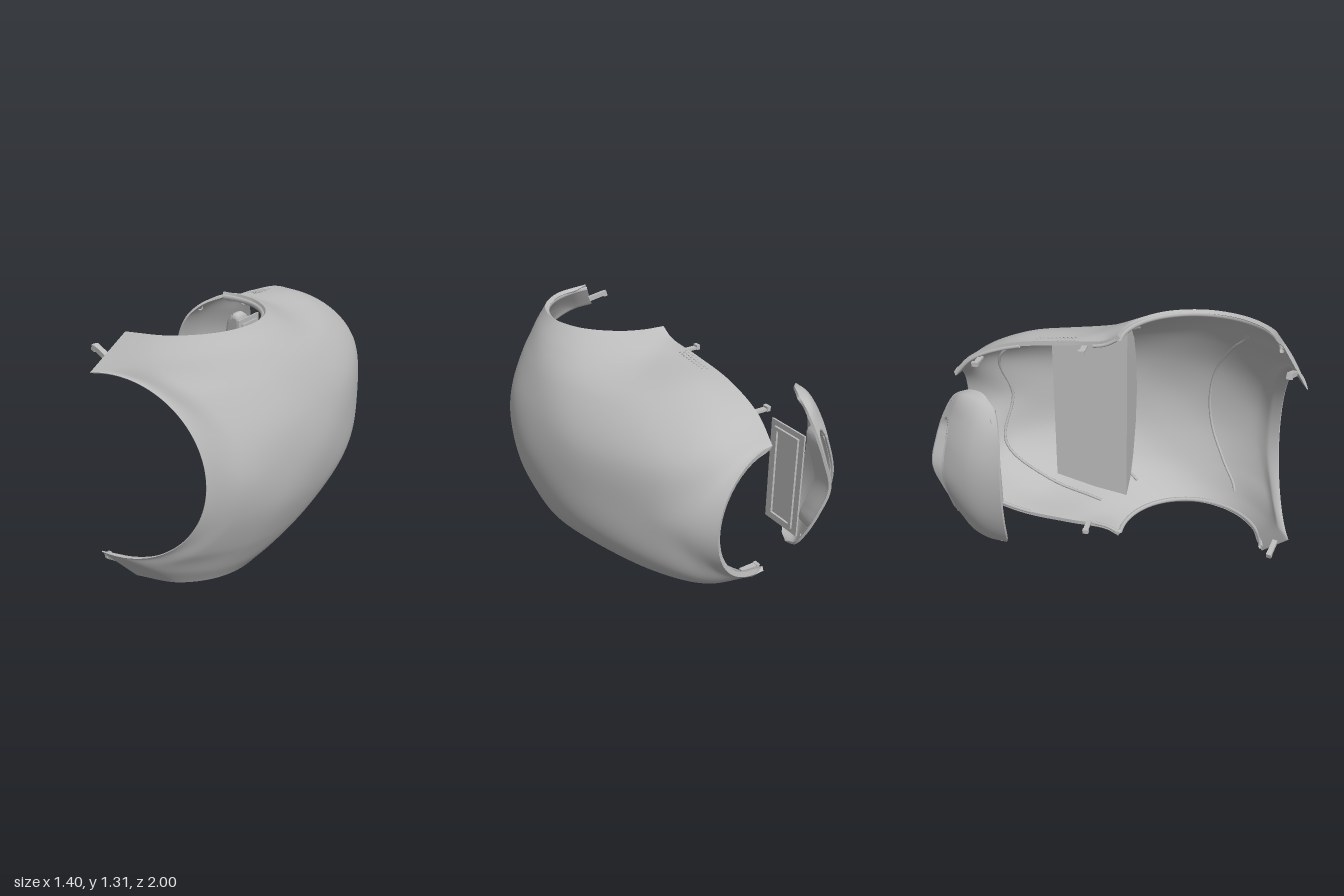
import * as THREE from 'three';
import { mergeGeometries } from 'three/addons/utils/BufferGeometryUtils.js';

const V = (x, y, z) => new THREE.Vector3(x, y, z);
const MID = 0.66; // height of the mirror plane
const flip = p => V(p.x, 2 * MID - p.y, p.z);
const rad = THREE.MathUtils.degToRad;

// Surface through rows of points (top row to middle row), mirrored below the middle.
// first / last add exact edge curves at the ends of each row.
function makeSurface(rows, first, last) {
  const n = rows.length - 1;
  const tracks = rows[0].map((_, j) => {
    const half = rows.map(r => V(...r[j]));
    return new THREE.CatmullRomCurve3([...half, ...half.slice(0, n).reverse().map(flip)]);
  });
  const edge = (f, r) => (r <= n ? f(r) : flip(f(2 * n - r)));
  return r => {
    const pts = tracks.map(t => t.getPoint(r / (2 * n)));
    if (first) pts.unshift(edge(first, r));
    if (last) pts.push(edge(last, r));
    return new THREE.CatmullRomCurve3(pts);
  };
}

// Thick skin: outer face, inner face and the rim joining them. thick(u) is the wall thickness.
function thickSkin(surface, rowsTotal, nr, nu, thick, shift) {
  const outer = [], idx = [], w = nu + 1;
  for (let i = 0; i <= nr; i++) {
    const curve = surface((i / nr) * rowsTotal);
    for (let j = 0; j <= nu; j++) {
      const p = curve.getPoint(j / nu);
      if (shift) shift(p, j / nu);
      outer.push(p);
      if (i < nr && j < nu) {
        const a = i * w + j;
        idx.push(a, a + w, a + 1, a + 1, a + w, a + w + 1);
      }
    }
  }
  const og = new THREE.BufferGeometry().setFromPoints(outer);
  og.setIndex(idx);
  og.computeVertexNormals();
  const nrm = og.attributes.normal;
  const inner = outer.map((p, k) => p.clone().addScaledVector(new THREE.Vector3().fromBufferAttribute(nrm, k), -thick((k % w) / nu)));
  const ig = new THREE.BufferGeometry().setFromPoints(inner);
  ig.setIndex(idx.slice().reverse());
  ig.computeVertexNormals();
  const loop = [];
  for (let i = 0; i < nr; i++) loop.push(i * w);
  for (let j = 0; j < nu; j++) loop.push(nr * w + j);
  for (let i = nr; i > 0; i--) loop.push(i * w + nu);
  for (let j = nu; j > 0; j--) loop.push(j);
  const rim = [];
  loop.forEach((a, k) => {
    const b = loop[(k + 1) % loop.length];
    rim.push(outer[a], inner[a], outer[b], outer[b], inner[a], inner[b]);
  });
  const rg = new THREE.BufferGeometry().setFromPoints(rim);
  rg.computeVertexNormals();
  return mergeGeometries([og.toNonIndexed(), ig.toNonIndexed(), rg]);
}

export function createModel() {
  const model = new THREE.Group();
  const grey = new THREE.MeshStandardMaterial({ color: 0xbcbcbc, side: THREE.DoubleSide });
  grey.name = 'grey plastic';
  const add = (name, geo) => {
    const m = new THREE.Mesh(geo, grey);
    m.name = name;
    model.add(m);
    return m;
  };
  const box = (name, w, h, d, x, y, z) => {
    const m = add(name, new THREE.BoxGeometry(w, h, d));
    m.position.set(x, y, z);
    return m;
  };

  // Housing: round openings above, below, in front and behind
  const topRim = [30, 60, 90, 120, 148, 166].map(a => [-0.02 + 0.43 * Math.sin(rad(a)), 1.315, 0.43 + 0.43 * Math.cos(rad(a))]);
  const rows = [
    topRim,
    [[0.18, 1.2, 0.89], [0.39, 1.215, 0.7], [0.49, 1.22, 0.42], [0.45, 1.215, 0.1], [0.26, 1.23, -0.13], [0.1, 1.257, -0.16]],
    [[0.36, 1.07, 0.85], [0.52, 1.07, 0.62], [0.585, 1.08, 0.3], [0.55, 1.09, -0.05], [0.365, 1.15, -0.43], [0.17, 1.205, -0.57]],
    [[0.52, 0.87, 0.78], [0.63, 0.87, 0.53], [0.665, 0.88, 0.18], [0.625, 0.89, -0.23], [0.43, 0.945, -0.72], [0.25, 1.01, -0.865]],
    [[0.56, 0.66, 0.78], [0.66, 0.66, 0.5], [0.695, 0.66, 0.17], [0.64, 0.66, -0.26], [0.495, 0.66, -0.68], [0.41, 0.66, -0.85]],
  ];
  const frontRim = deg => {
    const x = -0.043 + 0.484 * Math.cos(rad(deg));
    return V(x, MID + 0.484 * Math.sin(rad(deg)), 0.975 - 0.17 * x);
  };
  const frontEdge = r => (r <= 1 ? V(-0.02, 1.315, 0.86).lerp(frontRim(100), r) : frontRim((100 / 3) * (4 - r)));
  const seam = new THREE.CatmullRomCurve3([V(-0.03, 1.315, 0), V(-0.03, 1.275, -0.08), V(-0.03, 1.257, -0.3),
    V(-0.03, 1.22, -0.6), V(-0.03, 1.135, -0.82), V(-0.03, 1.02, -0.935)]);
  const backEdge = r => {
    if (r <= 3) return seam.getPoint(r / 3);
    const c = Math.cos(rad(90 * (4 - r))), s = Math.sin(rad(90 * (4 - r)));
    return V(-0.03 + 0.345 * c, MID + 0.36 * s, -0.935 - 0.065 * Math.max(c, 0) ** 1.3);
  };
  const shell = makeSurface(rows, frontEdge, backEdge);
  // The wall thins out towards the front opening
  add('housingShell', thickSkin(shell, 8, 96, 80, u => 0.005 + 0.02 * Math.min(1, u / 0.06)));

  // Ribs on the inside of the housing
  for (const u of [0.3, 0.6, 0.78]) {
    const pts = [];
    for (let r = 1; r <= 7; r += 0.25) {
      const p = shell(r).getPoint(u);
      pts.push(p.lerp(V(0, MID, p.z * 0.7), 0.055));
    }
    add('innerRib', new THREE.TubeGeometry(new THREE.CatmullRomCurve3(pts), 40, 0.009, 6));
  }

  // Inner partition: side wall and front wall
  const plate = (half, depth) => {
    const pts = [...half, ...half.slice().reverse().map(([a, y]) => [a, 2 * MID - y])];
    return new THREE.ExtrudeGeometry(new THREE.Shape(pts.map(p => new THREE.Vector2(...p))), { depth, bevelEnabled: false });
  };
  const side = add('partitionSide', plate([[0.44, 1.1], [0.2, 1.17], [0, 1.21]], 0.012));
  side.rotation.y = Math.PI / 2;
  side.position.x = 0.255;
  add('partitionFront', plate([[0.255, 1.21], [0.4, 1.17], [0.5, 1.07], [0.59, 0.88], [0.62, 0.67]], 0.012)).position.z = -0.012;

  // Parts repeated above and below the middle
  for (const s of [1, -1]) {
    const Y = y => MID + s * (y - MID);
    // Stepped lip inside the round opening
    const lip = add('openingLip', new THREE.TorusGeometry(0.42, 0.014, 6, 40, Math.PI));
    lip.rotation.set(Math.PI / 2, 0, -Math.PI / 2);
    lip.position.set(-0.02, Y(1.29), 0.43);
    // Seam clips with hooked ends
    for (const [z, y] of [[-0.77, 1.12], [-0.18, 1.235]]) {
      box('seamClip', 0.11, 0.012, 0.03, -0.075, Y(y), z);
      box('clipHook', 0.02, 0.025, 0.035, -0.122, Y(y + 0.004), z);
    }
    const arm = box('frontClip', 0.11, 0.026, 0.028, -0.125, Y(1.212), 0.91);
    arm.rotation.set(0, -0.3, -0.3 * s);
    box('frontClipHook', 0.025, 0.03, 0.03, -0.172, Y(1.222), 0.897).rotation.set(0, -0.3, -0.3 * s);
    // Tongues along the seam
    for (const [t0, t1] of [[0.02, 0.26], [0.56, 0.97]]) {
      const pts = [];
      for (let k = 0; k <= 8; k++) {
        const p = seam.getPoint(t0 + ((t1 - t0) * k) / 8);
        pts.push(V(-0.03, Y(p.y - 0.025), p.z));
      }
      add('seamTongue', new THREE.TubeGeometry(new THREE.CatmullRomCurve3(pts), 16, 0.01, 6));
    }
  }

  // Perforated patch on the top
  const dots = [];
  for (let i = 0; i < 10; i++) {
    for (let j = 0; j < 3; j++) {
      const z = -0.24 - i * 0.022;
      const dot = new THREE.CylinderGeometry(0.005, 0.005, 0.006, 6);
      dot.translate(-0.015 + j * 0.02, 1.26 + (z + 0.24) * 0.1, z - (j % 2) * 0.011);
      dots.push(dot);
    }
  }
  add('ventDots', mergeGeometries(dots));

  // Loose back cover with a flat-floored finger recess
  const coverRows = [
    [[-0.37, 1.1, -0.725], [-0.395, 1.11, -0.67], [-0.415, 1.11, -0.635], [-0.437, 1.1, -0.605]],
    [[-0.355, 1.055, -0.81], [-0.415, 1.08, -0.755], [-0.475, 1.085, -0.65], [-0.52, 1.065, -0.535]],
    [[-0.37, 0.96, -0.87], [-0.46, 0.975, -0.79], [-0.555, 0.98, -0.66], [-0.62, 0.97, -0.495]],
    [[-0.4, 0.82, -0.92], [-0.51, 0.83, -0.825], [-0.61, 0.83, -0.685], [-0.68, 0.83, -0.482]],
    [[-0.43, 0.66, -0.95], [-0.54, 0.66, -0.84], [-0.63, 0.66, -0.69], [-0.7, 0.66, -0.48]],
  ];
  const recess = (p, u) => {
    const dy = Math.abs(p.y - MID);
    const d = Math.hypot(Math.max(dy - 0.2, 0) / 0.08, (u - 0.165) / 0.125);
    p.z = THREE.MathUtils.lerp(p.z, Math.max(p.z, -0.825 + 0.2 * dy), 1 - THREE.MathUtils.smoothstep(d, 0.9, 1.04));
  };
  add('backCover', thickSkin(makeSurface(coverRows), 8, 140, 96, () => 0.014, recess));

  // Screw bosses inside the cover
  for (const [x, y, z] of [[-0.55, 1.02, -0.55], [-0.55, 0.3, -0.55], [-0.385, 1.02, -0.81], [-0.385, 0.3, -0.81], [-0.672, 0.66, -0.51]]) {
    const boss = add('coverBoss', new THREE.TorusGeometry(0.014, 0.005, 6, 14));
    boss.position.set(x, y, z);
    boss.rotation.y = 0.7;
  }

  // Loose flat panel with a raised border
  box('panelPlate', 0.01, 0.59, 0.25, -0.305, 0.66, -0.735);
  for (const s of [1, -1]) {
    box('panelBorderLong', 0.014, 0.53, 0.02, -0.295, 0.66, -0.735 + s * 0.08);
    box('panelBorderShort', 0.014, 0.02, 0.16, -0.295, 0.66 + s * 0.255, -0.735);
  }
  return model;
}
